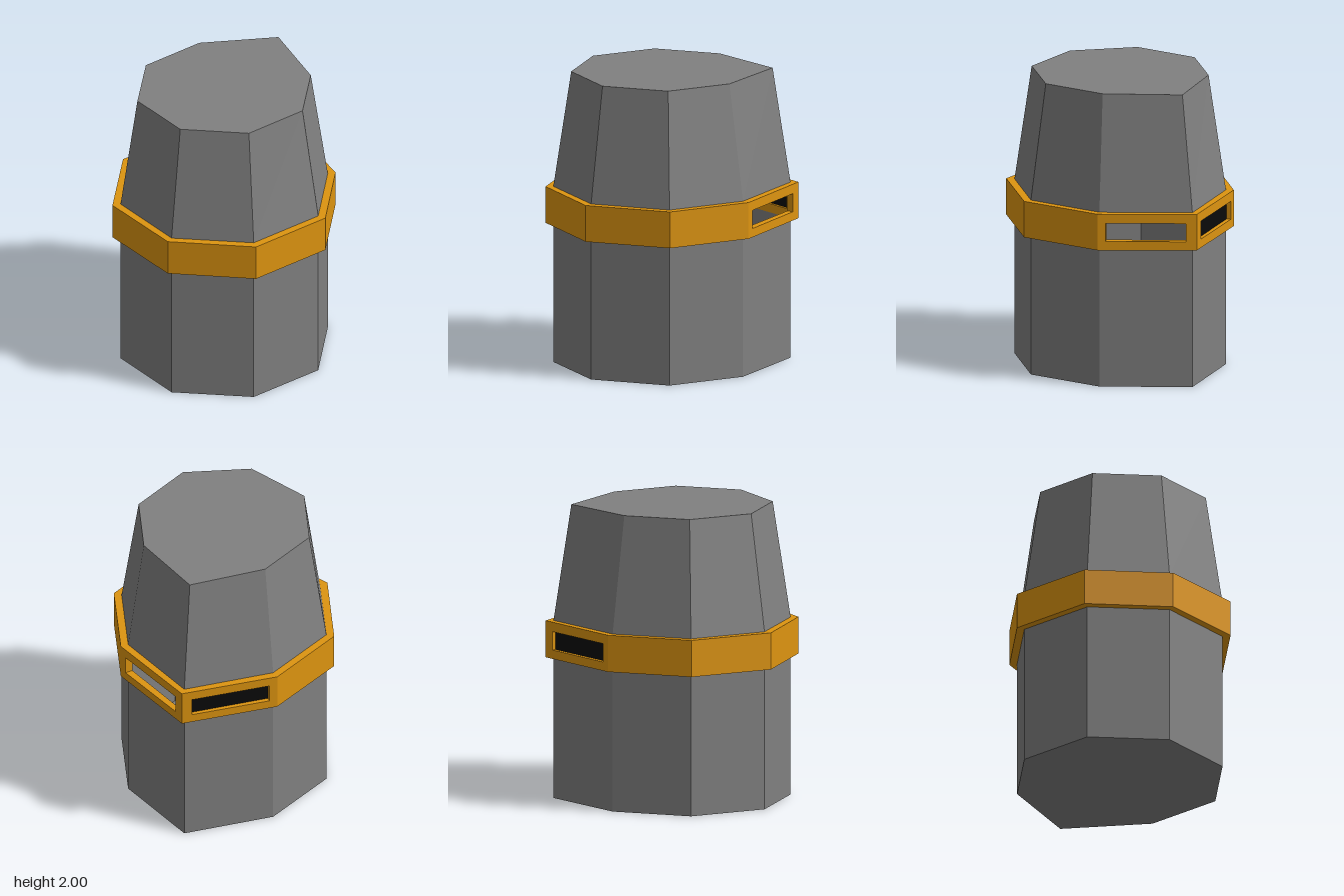
import * as THREE from 'three';

const V = (x, y, z) => new THREE.Vector3(x, y, z);

// Mirror a half outline (front to back) into a closed eight-sided ring of [x, z]
const ring = (half) => [...half, ...half.slice(1, -1).reverse().map(([x, z]) => [-x, z])];
const BODY = ring([[0, 0.795], [0.51, 0.58], [0.72, 0.07], [0.51, -0.44], [0, -0.797]]);
const TOP = ring([[0, 0.675], [0.427, 0.497], [0.6, 0.07], [0.427, -0.355], [0, -0.677]]);
const BAND = ring([[0, 0.847], [0.55, 0.62], [0.775, 0.07], [0.55, -0.475], [0, -0.85]]);
const N = 8;
const Y0 = 0.96, Y1 = 1.21;          // band
const S0 = 1.02, S1 = 1.145;         // eye slots
const at = (r, i, y) => V(r[i % N][0], y, r[i % N][1]);

// Collects flat-shaded quads and triangles
function builder() {
  const p = [];
  const tri = (...v) => v.forEach((q) => p.push(q.x, q.y, q.z));
  return {
    tri,
    quad(a, b, c, d) { tri(a, b, c); tri(a, c, d); },
    mesh(name, material) {
      const g = new THREE.BufferGeometry();
      g.setAttribute('position', new THREE.Float32BufferAttribute(p, 3));
      g.computeVertexNormals();
      const m = new THREE.Mesh(g, material);
      m.name = name;
      return m;
    },
  };
}

function wall(b, r0, y0, r1, y1, skip = []) {
  for (let i = 0; i < N; i++) {
    if (skip.includes(i)) continue;
    b.quad(at(r0, i, y0), at(r0, i + 1, y0), at(r1, i + 1, y1), at(r1, i, y1));
  }
}

// Point on band side i: s along the side, t from outer (0) to inner (1)
function bandPoint(i, s, t, y) {
  const o = at(BAND, i, y).lerp(at(BAND, i + 1, y), s);
  return o.lerp(at(BODY, i, y).lerp(at(BODY, i + 1, y), s), t);
}

export function createModel() {
  const model = new THREE.Group();
  const make = (name, color) => {
    const m = new THREE.MeshStandardMaterial({ color, side: THREE.DoubleSide });
    m.name = name;
    return m;
  };
  const grey = make('steel grey', 0x808080);
  const gold = make('gold', 0xdd9410);
  const black = make('black', 0x0a0a0a);
  const slotted = [3, 4];

  // Hollow helmet: straight lower part, tapered upper part, open behind the slots
  const lower = builder();
  wall(lower, BODY, 0, BODY, Y0);
  wall(lower, BODY, Y0, BODY, Y1, slotted);
  for (let i = 0; i < N; i++) lower.tri(V(0, 0, 0), at(BODY, i + 1, 0), at(BODY, i, 0));
  model.add(lower.mesh('lowerShell', grey));

  const upper = builder();
  wall(upper, BODY, Y1, TOP, 2);
  for (let i = 0; i < N; i++) upper.tri(V(0, 2, 0), at(TOP, i, 2), at(TOP, i + 1, 2));
  model.add(upper.mesh('upperShell', grey));

  // Band: outer wall plus top and bottom rims
  const band = builder();
  wall(band, BAND, Y0, BAND, Y1, slotted);
  wall(band, BAND, Y1, BODY, Y1);
  wall(band, BODY, Y0, BAND, Y0);

  // Slotted sides: frames on both faces and the slot lining between them
  const ys = [Y0, S0, S1, Y1];
  for (const i of slotted) {
    const cuts = [[0, 0.08, 0.893, 1], [0, 0.075, 0.935, 1]]
      .map((c) => (i === 3 ? c : c.map((s) => 1 - s).reverse()));
    const P = (t, a, b) => bandPoint(i, cuts[t][a], t, ys[b]);
    for (let a = 0; a < 3; a++) for (let b = 0; b < 3; b++) {
      if (a === 1 && b === 1) continue;
      band.quad(P(0, a, b), P(0, a + 1, b), P(0, a + 1, b + 1), P(0, a, b + 1));
      band.quad(P(1, a + 1, b), P(1, a, b), P(1, a, b + 1), P(1, a + 1, b + 1));
    }
    const loop = [[1, 1], [2, 1], [2, 2], [1, 2]];
    loop.forEach(([a, b], k) => {
      const [c, d] = loop[(k + 1) % 4];
      band.quad(P(0, a, b), P(1, a, b), P(1, c, d), P(0, c, d));
    });
  }
  model.add(band.mesh('visorBand', gold));

  // Dark plate closing the right eye slot
  const plate = builder();
  const Q = (s, y) => bandPoint(4, s, 0.6, y);
  plate.quad(Q(0.07, S0), Q(0.93, S0), Q(0.93, S1), Q(0.07, S1));
  model.add(plate.mesh('rightEyePlate', black));

  return model;
}
